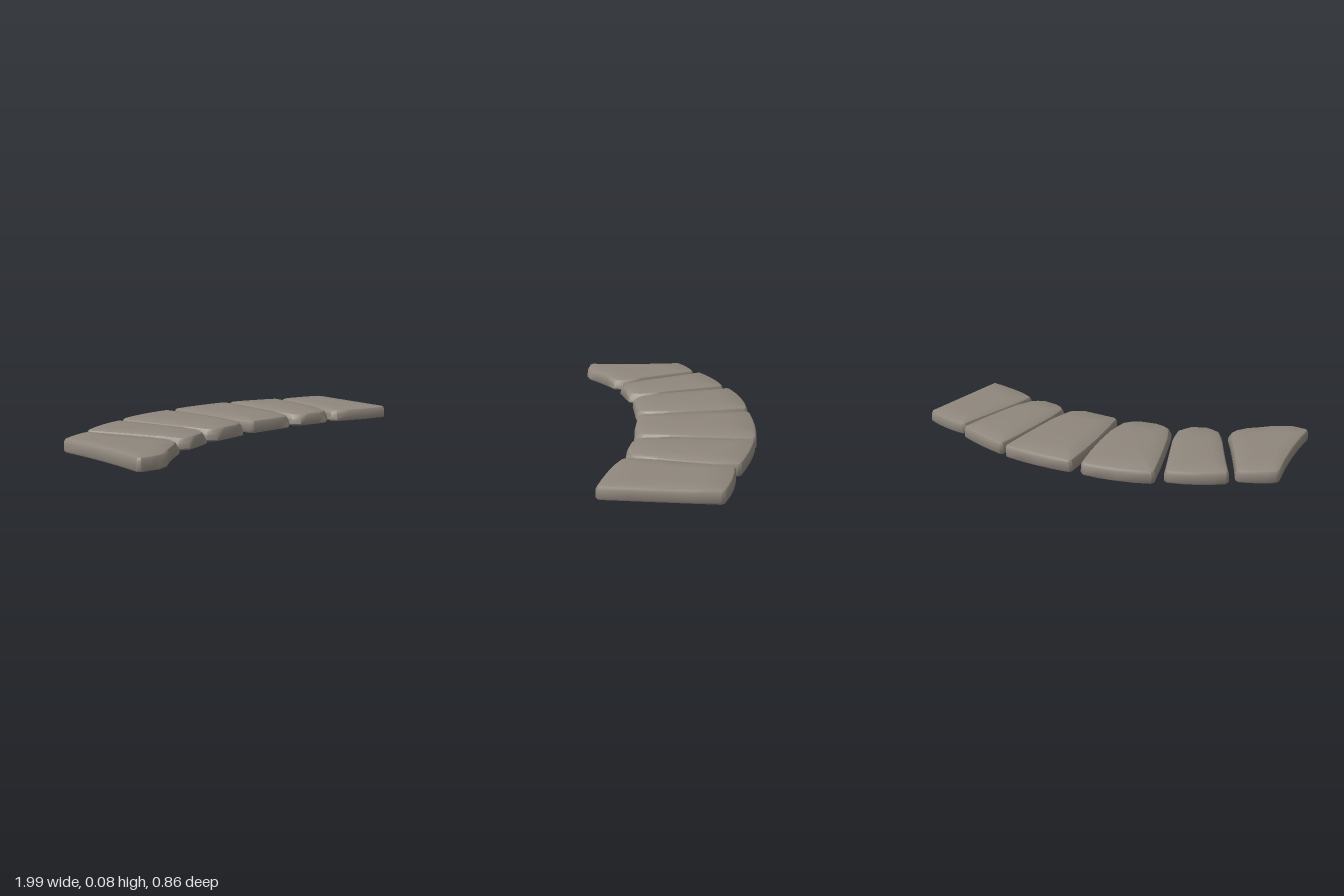
import * as THREE from 'three';
import { toCreasedNormals } from 'three/addons/utils/BufferGeometryUtils.js';

// Each stone: base height, crown height, and corners [x, z, bow, chip] running
// back left -> back right -> front. bow curves the edge that follows the corner
// outward; chip is how much has been knocked off the corner.
const STONES = [
  { base: 0.003, crown: 0.071, corners: [
    [-0.955, -0.165, 0.01, 0], [-0.76, -0.232, -0.006, 0], [-0.596, 0.25, -0.01, 0.02],
    [-0.865, 0.428, 0, 0.012], [-1, 0.402, -0.014, 0]] },
  { base: 0.003, crown: 0.074, corners: [
    [-0.74, -0.265, 0.018, 0], [-0.447, -0.365, 0, 0], [-0.33, 0.18, 0.003, 0.025], [-0.567, 0.242, -0.005, 0.02]] },
  { base: 0, crown: 0.077, corners: [
    [-0.41, -0.392, 0.02, 0], [-0.042, -0.43, 0.02, 0], [-0.044, 0.17, 0, 0.02], [-0.316, 0.178, 0.006, 0.018]] },
  { base: 0, crown: 0.077, corners: [
    [0.005, -0.43, 0.013, 0], [0.396, -0.388, 0.005, 0], [0.29, 0.211, 0, 0.022], [-0.008, 0.166, 0.012, 0]] },
  { base: 0.001, crown: 0.075, corners: [
    [0.415, -0.38, 0.008, 0], [0.715, -0.253, 0.013, 0], [0.545, 0.272, 0, 0.02], [0.31, 0.206, 0.008, 0.016]] },
  { base: 0.003, crown: 0.071, corners: [
    [0.725, -0.228, 0.014, 0], [1, -0.13, 0, 0], [0.893, 0.41, 0.01, 0], [0.56, 0.276, 0, 0.008]] },
];
const EDGE_STEPS = 4;

// Turns the corners into an outline of bowed edges with clipped corners
function stoneOutline(corners) {
  const outline = [];
  corners.forEach(([ax, az, bow, chipA], i) => {
    const [bx, bz, , chipB] = corners[(i + 1) % corners.length];
    const dx = bx - ax, dz = bz - az, length = Math.hypot(dx, dz);
    const start = (0.014 + chipA * 1.2) / length;
    const end = 1 - (0.014 + chipB * 1.2) / length;
    for (let s = 0; s <= EDGE_STEPS; s++) {
      const t = THREE.MathUtils.lerp(start, end, s / EDGE_STEPS);
      const push = bow * 4 * t * (1 - t) / length;
      const chip = s === 0 ? chipA : s === EDGE_STEPS ? chipB : 0;
      outline.push({ x: ax + dx * t + dz * push, z: az + dz * t - dx * push, chip });
    }
  });
  return outline;
}

// Mitred inward direction at each outline point
function inwardDirections(outline) {
  const n = outline.length;
  const edgeNormal = (a, b) => new THREE.Vector2(a.z - b.z, b.x - a.x).normalize();
  return outline.map((p, i) => {
    const before = edgeNormal(outline[(i + n - 1) % n], p);
    const after = edgeNormal(p, outline[(i + 1) % n]);
    const dir = before.add(after).normalize();
    return dir.multiplyScalar(1 / Math.max(dir.dot(after), 0.6));
  });
}

// Bevel profile from the ground up: [inset, height] for a given chip
const PROFILE = [
  (chip, base) => [0.005, base],
  (chip, base) => [0, base + 0.008],
  (chip) => [0.001 + chip * 0.15, 0.05 - chip * 0.9],
  (chip) => [0.007 + chip * 0.6, 0.062 - chip * 0.15],
  (chip) => [0.016 + chip, 0.067],
];

// Stacks inset rings into a slab with a bevelled rim and gently crowned top
function stoneGeometry({ base, crown, corners }) {
  const outline = stoneOutline(corners);
  const inward = inwardDirections(outline);
  const n = outline.length;
  const positions = [];
  for (const ring of PROFILE) {
    outline.forEach(({ x, z, chip }, i) => {
      const [inset, y] = ring(chip, base);
      positions.push(x + inward[i].x * inset, y, z + inward[i].y * inset);
    });
  }
  const cx = outline.reduce((sum, p) => sum + p.x, 0) / n;
  const cz = outline.reduce((sum, p) => sum + p.z, 0) / n;

  // Inner ring that carries the crown, then the two cap centres
  const rim = (PROFILE.length - 1) * n;
  for (let i = 0; i < n; i++) {
    const x = positions[(rim + i) * 3], z = positions[(rim + i) * 3 + 2];
    positions.push(cx + (x - cx) * 0.6, crown - 0.002, cz + (z - cz) * 0.6);
  }
  const last = PROFILE.length * n;
  const top = last + n, bottom = top + 1;
  positions.push(cx, crown, cz, cx, base, cz);

  const index = [];
  for (let i = 0; i < n; i++) {
    const j = (i + 1) % n;
    for (let a = 0; a < last; a += n) {
      const b = a + n;
      index.push(a + i, b + i, a + j, a + j, b + i, b + j);
    }
    index.push(top, last + j, last + i, bottom, i, j);
  }
  const geometry = new THREE.BufferGeometry();
  geometry.setAttribute('position', new THREE.Float32BufferAttribute(positions, 3));
  geometry.setIndex(index);
  return toCreasedNormals(geometry, 0.6);
}

export function createModel() {
  const stone = new THREE.MeshStandardMaterial({ color: 0x8f877d });
  stone.name = 'warm grey stone';

  const path = new THREE.Group();
  path.name = 'curvedStonePath';
  STONES.forEach((spec, i) => {
    const mesh = new THREE.Mesh(stoneGeometry(spec), stone);
    mesh.name = `pavingStone${i + 1}`;
    path.add(mesh);
  });
  return path;
}
